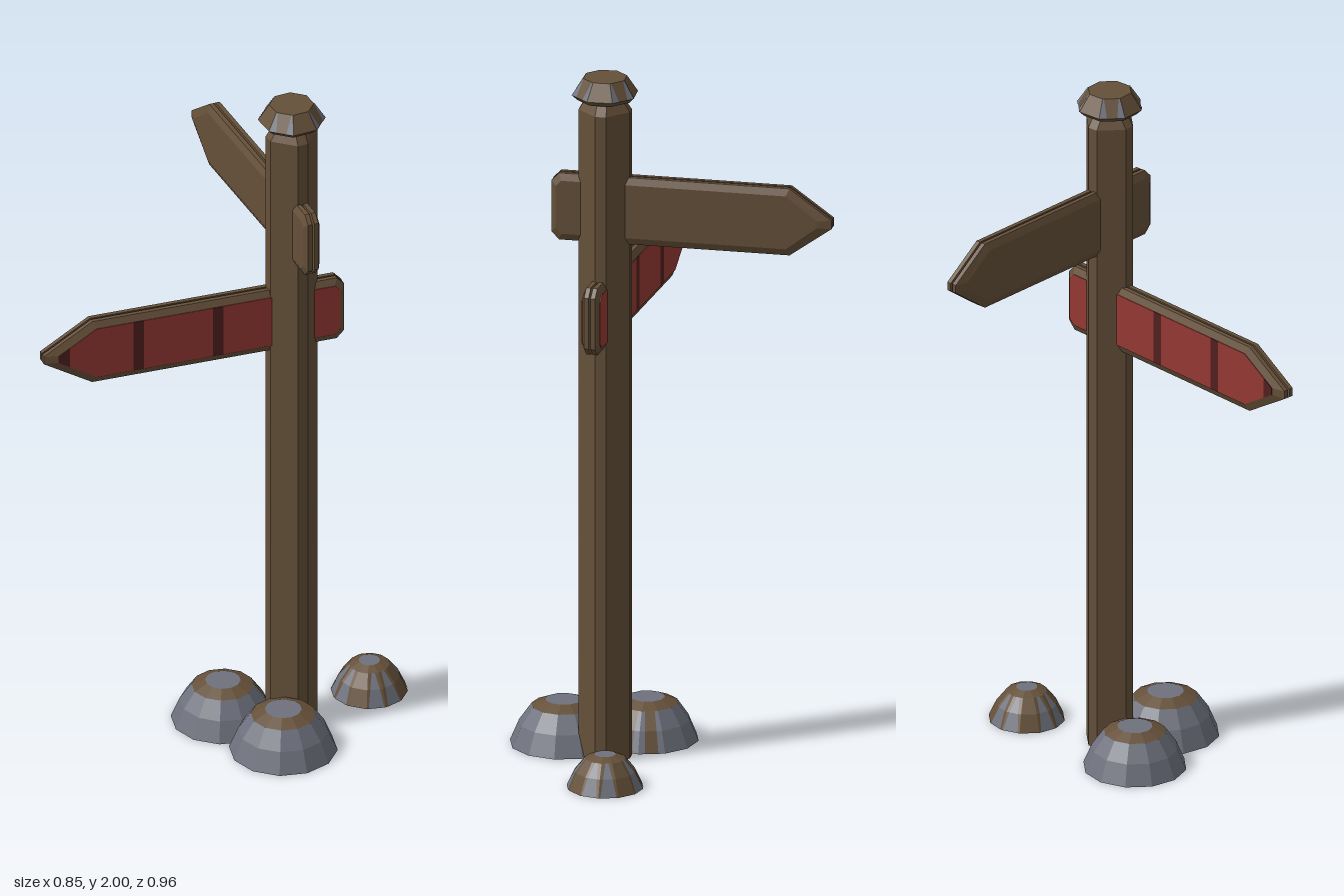
import * as THREE from 'three';

const mat = (name, color) => {
  const m = new THREE.MeshStandardMaterial({ color });
  m.name = name;
  return m;
};

const V = (x, y, z) => new THREE.Vector3(x, y, z);

// Flat-shaded mesh from convex polygons
function polyMesh(name, polys, material) {
  const pos = [];
  for (const p of polys)
    for (let i = 1; i < p.length - 1; i++)
      for (const v of [p[0], p[i], p[i + 1]]) pos.push(v.x, v.y, v.z);
  const g = new THREE.BufferGeometry();
  g.setAttribute('position', new THREE.Float32BufferAttribute(pos, 3));
  g.computeVertexNormals();
  const mesh = new THREE.Mesh(g, material);
  mesh.name = name;
  return mesh;
}

// Polygons joining a stack of cross-sections, with optional end caps
function loft(rings, capStart = false, capEnd = false) {
  const polys = [];
  for (let k = 0; k < rings.length - 1; k++) {
    const a = rings[k], b = rings[k + 1], n = a.length;
    for (let i = 0; i < n; i++) {
      const j = (i + 1) % n;
      polys.push([a[i], a[j], b[j], b[i]]);
    }
  }
  if (capStart) polys.push([...rings[0]].reverse());
  if (capEnd) polys.push(rings[rings.length - 1]);
  return polys;
}

// Regular ring with facet i centred on angle i * 360 / n
const ring = (n, r, y) => Array.from({ length: n }, (_, i) => {
  const a = ((i - 0.5) * 2 * Math.PI) / n;
  const R = r / Math.cos(Math.PI / n);
  return V(R * Math.cos(a), y, -R * Math.sin(a));
});

// Square ring with cut corners
const cutSquare = (s, c, y) => [
  [s, s - c], [s, c - s], [s - c, -s], [c - s, -s],
  [-s, c - s], [-s, s - c], [c - s, s], [s - c, s],
].map(([x, z]) => V(x, y, z));

// Thin tapering patch lying on one facet; spans give [from, to] per ring
function patch(rings, i, spans) {
  const n = rings[0].length;
  const at = (k, f) => {
    const v = rings[k][i].clone().lerp(rings[k][(i + 1) % n], f);
    return v.multiply(V(1.015, 1, 1.015)).setY(v.y + 0.0006);
  };
  return spans.slice(1).map((s, k) => [
    at(k, spans[k][0]), at(k, spans[k][1]), at(k + 1, s[1]), at(k + 1, s[0])]);
}

export function createModel() {
  const wood = mat('brown wood', 0x655039);
  const grey = mat('grey stone', 0x6e717d);
  const red = mat('red paint', 0x943833);
  const dark = mat('dark red stripe', 0x521f1f);

  const model = new THREE.Group();
  model.name = 'signpost';

  // Post and cap
  const post = new THREE.Group();
  post.name = 'post';
  post.position.set(0.163, 0, 0.0135);
  model.add(post);
  post.add(polyMesh('postShaft', loft([
    cutSquare(0.0625, 0.022, 0), cutSquare(0.0625, 0.022, 1.905),
    cutSquare(0.05, 0.02, 1.93), cutSquare(0.05, 0.02, 1.945)], true, true), wood));

  const capRings = [ring(8, 0.074, 1.938), ring(8, 0.087, 1.952), ring(8, 0.058, 2)];
  post.add(polyMesh('postCap', loft(capRings, false, true), wood));
  post.add(polyMesh('capUnderside', [[...capRings[0]].reverse()], grey));
  const capMarks = [];
  for (let i = 0; i < 8; i += 2) {
    capMarks.push(...patch(capRings.slice(1), i, [[0, 0.3], [0, 0.08]]));
    capMarks.push(...patch(capRings.slice(1), i, [[0.7, 1], [0.92, 1]]));
  }
  post.add(polyMesh('capMarks', capMarks, grey));

  // Arrow boards, each made of two bevelled halves with a narrow seam
  function arrowBoard(name, y, dx, dz, shoulder, tip, painted) {
    const board = new THREE.Group();
    board.name = name;
    board.position.y = y;
    board.rotation.y = Math.atan2(-dz, dx);
    const outer = [[-0.15, 0.075], [-0.128, 0.098], [shoulder, 0.098], [tip, 0.012]];
    const inner = [[-0.136, 0.062], [-0.12, 0.078], [shoulder - 0.01, 0.078], [tip - 0.04, 0.01]];
    const loop = (pts, z) => [
      ...pts.map(([u, h]) => V(u, -h, z)),
      ...[...pts].reverse().map(([u, h]) => V(u, h, z))];
    const halfHeight = u => {
      for (let i = 1; i < inner.length; i++) {
        const [u0, h0] = inner[i - 1], [u1, h1] = inner[i];
        if (u <= u1) return h0 + (h1 - h0) * (u - u0) / (u1 - u0);
      }
      return inner[3][1];
    };
    for (const side of [0, 1]) {
      const half = new THREE.Group();
      half.name = side ? 'backHalf' : 'frontHalf';
      half.rotation.x = side * Math.PI;
      half.add(polyMesh('plank', loft([
        loop(outer, 0.003), loop(outer, 0.016), loop(inner, 0.025)], true, true), wood));
      // Painted panel cut into bands along its length
      const cuts = [-0.136, 0.211, 0.241, 0.446, 0.476, 0.665, tip - 0.04];
      if (painted) for (let i = 0; i < cuts.length - 1; i++) {
        const a = cuts[i], b = cuts[i + 1];
        const us = [a, ...inner.map(p => p[0]).filter(u => u > a && u < b), b];
        const pts = us.map(u => [u, halfHeight(u)]);
        half.add(polyMesh(i % 2 ? 'stripe' : 'redPanel', loft(
          [loop(pts, 0.025), loop(pts, 0.027)], false, true), i % 2 ? dark : red));
      }
      board.add(half);
    }
    post.add(board);
  }
  arrowBoard('lowerSign', 1.32, -0.786, 0.618, 0.595, 0.738, true);
  arrowBoard('upperSign', 1.615, -0.68, -0.733, 0.53, 0.65, false);

  // Rocks: faceted domes given as [radius, height] profiles
  function rock(name, x, z, profile, colours, marks) {
    const g = new THREE.Group();
    g.name = name;
    g.position.set(x, 0, z);
    const rings = profile.map(([r, y]) => ring(12, r, y));
    colours.forEach((c, k) => g.add(polyMesh('rockBand', loft(rings.slice(k, k + 2)), c)));
    g.add(polyMesh('rockTop', [rings[rings.length - 1]], grey));
    g.add(polyMesh('rockBase', [[...rings[0]].reverse()], grey));
    if (marks) g.add(polyMesh('rockMarks', marks.facets.flatMap(
      i => patch(rings, i, marks.spans)), marks.material));
    model.add(g);
  }
  const bigRock = [[1, 0], [0.83, 0.48], [0.6, 0.87], [0.34, 1]];
  const sized = (r, h) => bigRock.map(([a, b]) => [a * r, b * h]);
  rock('leftRock', -0.02, 0.07, sized(0.141, 0.123), [grey, grey, wood],
    { facets: [1, 2], spans: [[0.25, 0.75], [0.25, 0.75], [0.2, 0.8]], material: wood });
  rock('frontRock', 0.193, 0.172, sized(0.147, 0.128), [grey, grey, wood]);
  rock('smallRock', 0.317, -0.207, [[0.104, 0], [0.083, 0.048], [0.055, 0.085], [0.029, 0.096]],
    [wood, wood, wood],
    { facets: [1, 2, 4, 5, 7, 8, 10, 11], spans: [[0.1, 0.9], [0.2, 0.8], [0.35, 0.65]], material: grey });

  return model;
}
